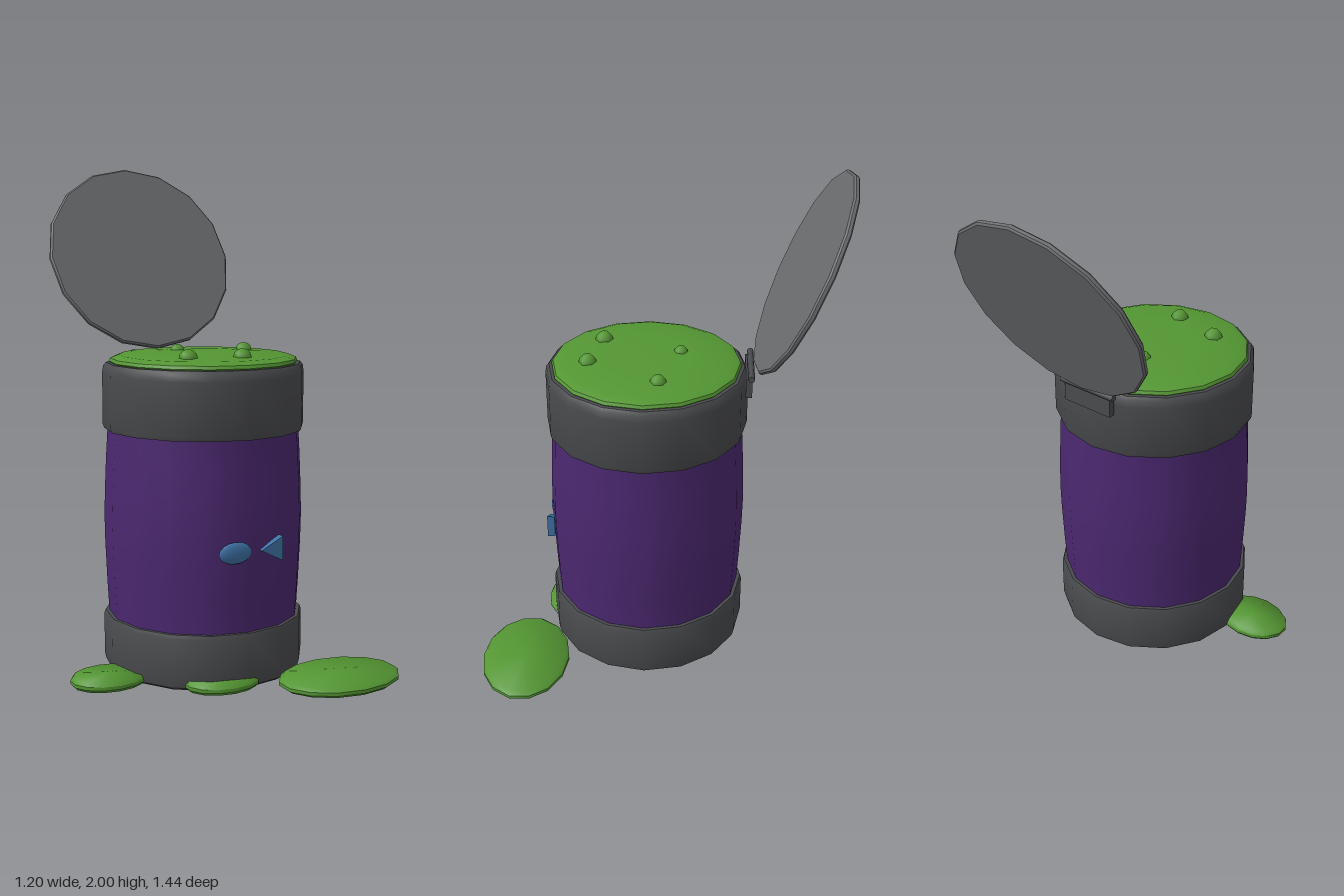
import * as THREE from 'three';
import { toCreasedNormals } from 'three/addons/utils/BufferGeometryUtils.js';

const mat = (color) => new THREE.MeshStandardMaterial({ color });

// Surface of revolution from [radius, y] pairs, listed from bottom to top
function lathe(points, sides) {
  const g = new THREE.LatheGeometry(points.map(([r, y]) => new THREE.Vector2(r, y)), sides);
  return toCreasedNormals(g, 0.7);
}

export function createModel() {
  const model = new THREE.Group();
  const dark = mat(0x4a4b4e);
  const lidGrey = mat(0x6c6d6f);
  const purple = mat(0x4b2870);
  const green = mat(0x549633);
  const blue = mat(0x3f72a6);

  const add = (name, geometry, material, x = 0, y = 0, z = 0, parent = model) => {
    const mesh = new THREE.Mesh(geometry, material);
    mesh.name = name;
    mesh.position.set(x, y, z);
    parent.add(mesh);
    return mesh;
  };

  // Barrel: two dark bands around a slightly bulging body, filled with slime
  const barrel = new THREE.Group();
  barrel.name = 'barrel';
  barrel.position.set(0.01, 0, 0.053);
  model.add(barrel);
  add('bottomBand', lathe([[0, 0], [0.375, 0], [0.393, 0.012], [0.4, 0.04], [0.4, 0.205], [0.394, 0.22], [0.36, 0.22]], 16), dark, 0, 0, 0, barrel);
  add('body', lathe([[0.379, 0.2], [0.387, 0.34], [0.394, 0.5], [0.396, 0.6], [0.394, 0.7], [0.388, 0.84], [0.38, 0.98]], 16), purple, 0, 0, 0, barrel);
  add('topBand', lathe([[0.36, 0.96], [0.394, 0.96], [0.4, 0.975], [0.4, 1.18], [0.396, 1.207], [0.385, 1.22], [0, 1.22]], 16), dark, 0, 0, 0, barrel);
  add('slime', lathe([[0.36, 1.21], [0.374, 1.225], [0.368, 1.237], [0.335, 1.25], [0.18, 1.257], [0, 1.259]], 16), green, 0, 0, 0, barrel);

  // Bubbles on the slime
  const bubbles = [[-0.04, -0.08, 0.029], [0.22, 0, 0.033], [-0.145, 0.23, 0.037], [0.06, 0.28, 0.036]];
  for (const [x, z, r] of bubbles) add('bubble', new THREE.SphereGeometry(r, 6, 6), green, x, 1.252, z).rotation.y = Math.PI / 6;

  // Open lid tilted backwards
  const lid = add('lid', lathe([[0, -0.0125], [0.408, -0.0125], [0.415, -0.006], [0.415, 0.006], [0.408, 0.0125], [0, 0.0125]], 16), lidGrey, 0.01, 1.617, -0.543);
  lid.rotation.x = 1.148;

  // Hinge plate and pin
  add('hingePlate', new THREE.BoxGeometry(0.22, 0.08, 0.025), dark, 0.01, 1.18, -0.347);
  const pin = add('hingePin', new THREE.CylinderGeometry(0.013, 0.013, 0.255, 8), dark, 0.01, 1.226, -0.355);
  pin.rotation.z = Math.PI / 2;

  // Fish emblem: oval body and triangular tail
  const fishBody = add('fishBody', new THREE.SphereGeometry(1, 14, 8), blue, -0.055, 0.537, 0.443);
  fishBody.scale.set(0.07, 0.042, 0.016);
  const tailShape = new THREE.Shape([[0.05, 0.537], [0.142, 0.49], [0.142, 0.585]].map(([x, y]) => new THREE.Vector2(x, y)));
  add('fishTail', new THREE.ExtrudeGeometry(tailShape, { depth: 0.03, bevelEnabled: false }), blue, 0, 0, 0.427);

  // Spilled slime puddles: x, z, half width, half depth
  const puddles = [[-0.45, 0.155, 0.153, 0.115], [-0.075, 0.378, 0.153, 0.112], [0.35, 0.543, 0.253, 0.178]];
  for (const [x, z, rx, rz] of puddles) {
    const puddle = add('puddle', lathe([[0, 0.006], [0.93, 0.006], [1, 0.017], [1, 0.03], [0.93, 0.044], [0, 0.046]], 14), green, x, 0, z);
    puddle.scale.set(rx, 1, rz);
  }

  return model;
}
